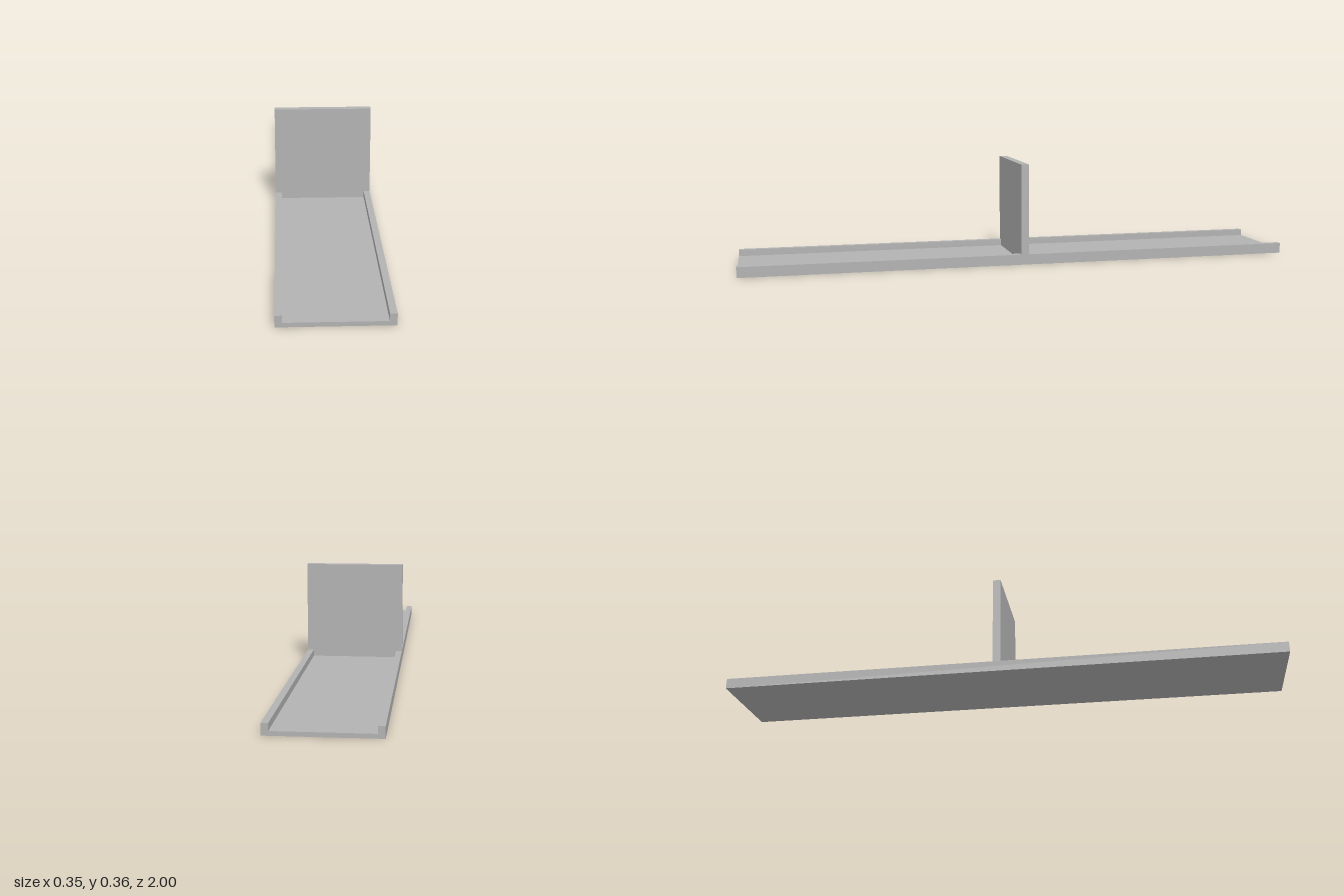
import * as THREE from 'three';

const HALF_W = 0.176;   // outer half width
const INNER = 0.154;    // half width between the lips
const FLOOR = 0.014;    // base plate thickness
const LIP = 0.037;      // top of the side lips
const TOP = 0.36;       // top of the divider

// Extrudes an x/y outline along z, centred on z = 0
function extrudeCentred(points, depth) {
  const shape = new THREE.Shape(points.map(([x, y]) => new THREE.Vector2(x, y)));
  const geometry = new THREE.ExtrudeGeometry(shape, { depth, bevelEnabled: false });
  return geometry.translate(0, 0, -depth / 2);
}

export function createModel() {
  const model = new THREE.Group();
  model.name = 'dividedTray';

  const grey = new THREE.MeshStandardMaterial({ color: 0xb2b2b2 });
  grey.name = 'grey';

  // Long shallow channel with a lip along each side
  const channel = new THREE.Mesh(extrudeCentred([
    [-HALF_W, 0], [HALF_W, 0], [HALF_W, LIP], [INNER, LIP],
    [INNER, FLOOR], [-INNER, FLOOR], [-INNER, LIP], [-HALF_W, LIP],
  ], 2), grey);
  channel.name = 'channelBase';

  // Upright divider, notched to sit over the lips
  const divider = new THREE.Mesh(extrudeCentred([
    [-INNER, FLOOR], [INNER, FLOOR], [INNER, LIP], [HALF_W, LIP],
    [HALF_W, TOP], [-HALF_W, TOP], [-HALF_W, LIP], [-INNER, LIP],
  ], 0.028), grey);
  divider.name = 'dividerPanel';

  model.add(channel, divider);
  return model;
}
